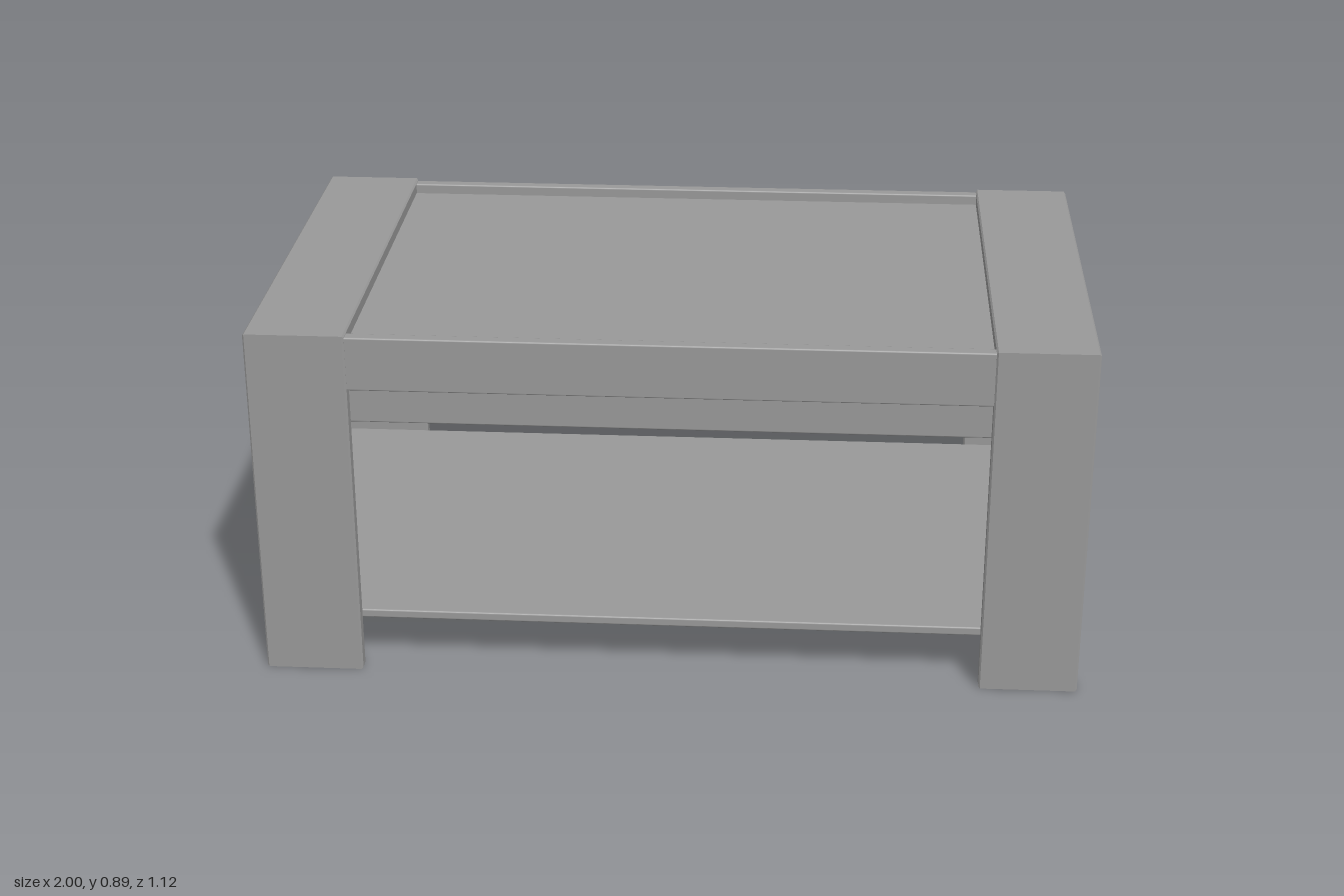
import * as THREE from 'three';
import { RoundedBoxGeometry } from 'three/addons/geometries/RoundedBoxGeometry.js';

const material = new THREE.MeshStandardMaterial({ color: 0x999999 });
const BEVEL = 0.004;

// Softly edged board given by its minimum and maximum corners
function board(name, [x0, y0, z0], [x1, y1, z1]) {
  const geometry = new RoundedBoxGeometry(x1 - x0, y1 - y0, z1 - z0, 2, BEVEL);
  const mesh = new THREE.Mesh(geometry, material);
  mesh.name = name;
  mesh.position.set((x0 + x1) / 2, (y0 + y1) / 2, (z0 + z1) / 2);
  return mesh;
}

// Wide bridge-shaped end: two slab legs joined by a thick top
function endFrame(name, side) {
  const outer = 0.56, inner = 0.525, top = 0.895, under = 0.825, width = 0.24;
  const profile = new THREE.Shape([
    [-outer, 0], [-inner, 0], [-inner, under], [inner, under],
    [inner, 0], [outer, 0], [outer, top], [-outer, top],
  ].map(([z, y]) => new THREE.Vector2(z, y)));
  const geometry = new THREE.ExtrudeGeometry(profile, {
    depth: width - 2 * BEVEL,
    bevelEnabled: true,
    bevelThickness: BEVEL,
    bevelSize: BEVEL,
    bevelOffset: -BEVEL,
    bevelSegments: 1,
  });
  geometry.translate(0, 0, -(width - 2 * BEVEL) / 2);
  geometry.rotateY(Math.PI / 2);
  const mesh = new THREE.Mesh(geometry, material);
  mesh.name = name;
  mesh.position.x = side * (1 - width / 2);
  return mesh;
}

export function createModel() {
  const table = new THREE.Group();
  table.name = 'coffeeTable';

  // Bridge-shaped ends
  table.add(endFrame('leftEndFrame', 1), endFrame('rightEndFrame', -1));

  // Recessed top panel, and the shelf, which reaches further to the right
  table.add(board('topPanel', [-0.765, 0.825, -0.527], [0.765, 0.865, 0.525]));
  table.add(board('lowerShelf', [-0.992, 0.128, -0.527], [0.91, 0.15, 0.525]));

  // Outer rails that stand a little above the panel
  for (const [name, z] of [['frontRail', 0.54], ['backRail', -0.541]]) {
    table.add(board(name, [-0.765, 0.755, z - 0.015], [0.765, 0.89, z + 0.015]));
  }

  // Inner apron frame under the top, also longer on the right
  const apron = new THREE.Group();
  apron.name = 'apronFrame';
  const left = 0.79, right = -0.865, front = 0.52, back = -0.525;
  const bottom = 0.658, top = 0.828, thick = 0.035;
  apron.add(
    board('frontApron', [right, bottom, front - thick], [left, top, front]),
    board('backApron', [right, bottom, back], [left, top, back + thick]),
    board('leftApron', [left - thick, bottom, back], [left, top, front]),
    board('rightApron', [right, bottom, back], [right + thick, top, front]),
  );
  table.add(apron);

  return table;
}
